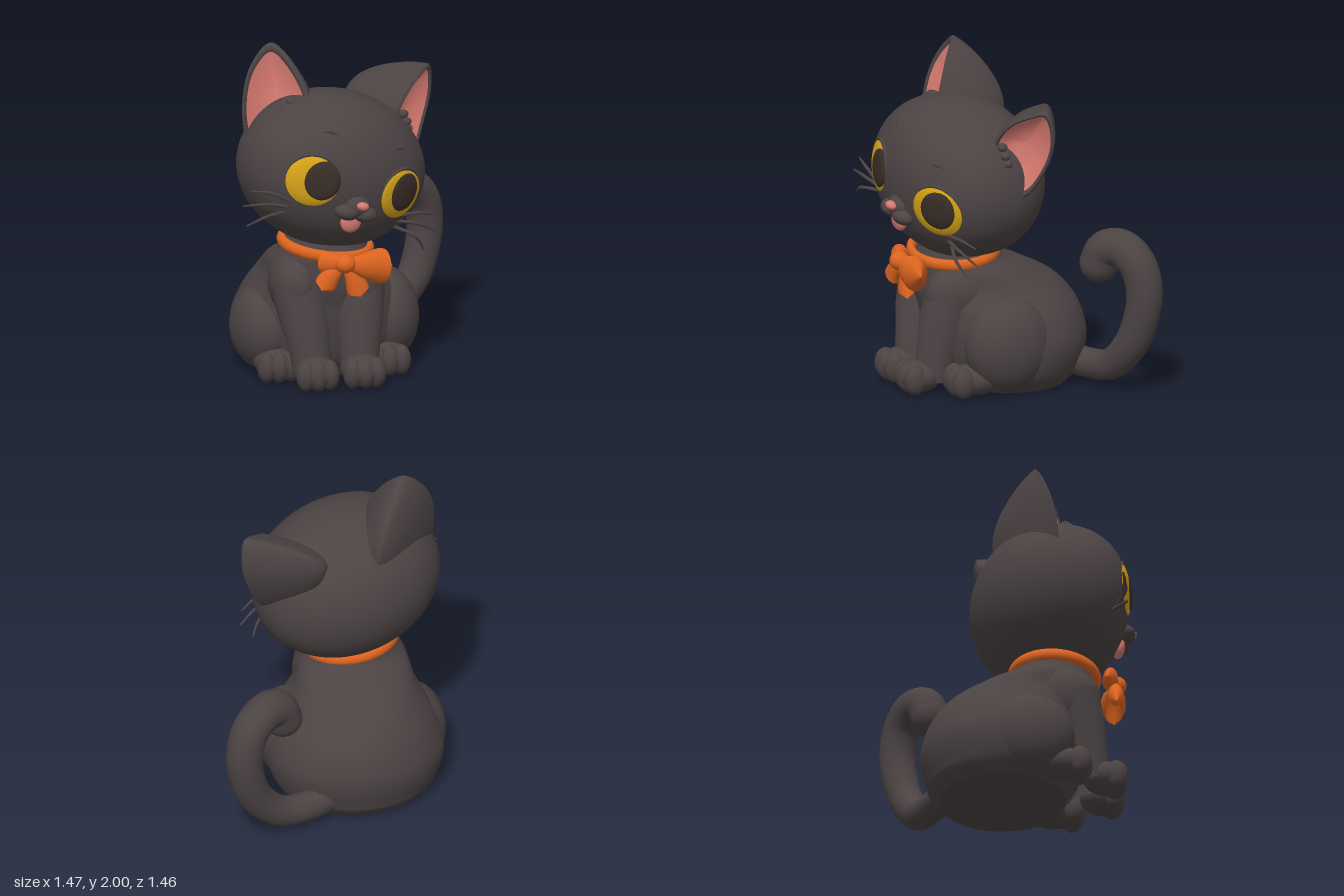
import * as THREE from 'three';
import { mergeVertices } from 'three/addons/utils/BufferGeometryUtils.js';

const V = (x, y, z = 0) => new THREE.Vector3(x, y, z);
const TAU = Math.PI * 2;

// Smooth surface from a rule f(u, v), front side along du x dv
function surface(nu, nv, f) {
  const pos = [], idx = [];
  for (let j = 0; j <= nv; j++)
    for (let i = 0; i <= nu; i++) pos.push(...f(i / nu, j / nv).toArray());
  for (let j = 0; j < nv; j++)
    for (let i = 0; i < nu; i++) {
      const a = j * (nu + 1) + i, d = a + nu + 1;
      idx.push(a, a + 1, d, a + 1, d + 1, d);
    }
  let g = new THREE.BufferGeometry();
  g.setAttribute('position', new THREE.Float32BufferAttribute(pos, 3));
  g.setIndex(idx);
  g = mergeVertices(g, 1e-5);
  g.computeVertexNormals();
  return g;
}

// Tube along points whose radius follows a list
function taperTube(points, radii, n = 32, sides = 20) {
  const curve = new THREE.CatmullRomCurve3(points.map(p => V(...p)));
  const rad = new THREE.SplineCurve(radii.map((r, i) => new THREE.Vector2(i, r)));
  const g = new THREE.TubeGeometry(curve, n, 1, sides);
  const p = g.attributes.position, v = V(0, 0);
  for (let i = 0; i <= n; i++) {
    const c = curve.getPointAt(i / n), r = Math.max(rad.getPoint(i / n).y, 0.0005);
    for (let j = 0; j <= sides; j++) {
      const k = i * (sides + 1) + j;
      v.fromBufferAttribute(p, k).sub(c).multiplyScalar(r).add(c);
      p.setXYZ(k, v.x, v.y, v.z);
    }
  }
  return g;
}

// Head shape: wide ellipsoid with a flatter face
const HX = 0.565, HY = 0.46, HZ = 0.458, FLAT = 0.8;
const headZ = (x, y) => HZ * Math.pow(Math.max(0, 1 - (x / HX) ** 2 - (y / HY) ** 2), FLAT / 2);

// Oval plate lying on the face
const facePlate = (cx, cy, rx, ry, off) => surface(48, 12, (u, v) => {
  const x = cx + rx * v * Math.cos(-TAU * u), y = cy + ry * v * Math.sin(-TAU * u);
  return V(x, y, headZ(x, y) + off * (1 - v ** 8));
});

export function createModel() {
  const mat = (name, color) => {
    const m = new THREE.MeshStandardMaterial({ color });
    m.name = name;
    return m;
  };
  const fur = mat('charcoal fur', 0x4c4343), pink = mat('pink', 0xd67a70);
  const orange = mat('orange ribbon', 0xdd6420), gold = mat('golden eye', 0xd6a418);
  const dark = mat('dark pupil', 0x3a2e28);

  const root = new THREE.Group();
  root.name = 'cat';
  const add = (name, geo, material, parent = root) => {
    const m = new THREE.Mesh(geo, material);
    m.name = name;
    parent.add(m);
    return m;
  };
  const ball = (name, c, r, material = fur, parent = root) => {
    const m = add(name, new THREE.SphereGeometry(1, 36, 24), material, parent);
    m.position.set(...c);
    m.scale.set(...r);
    return m;
  };

  // Pear-shaped body: [y, half width, half depth, centre x, centre z]
  const rows = [[0, 0.41, 0.37, -0.13, -0.07], [0.1, 0.49, 0.44, -0.13, -0.07],
    [0.27, 0.525, 0.485, -0.13, -0.065], [0.45, 0.465, 0.475, -0.13, -0.03],
    [0.6, 0.36, 0.43, -0.15, 0.045], [0.7, 0.32, 0.335, -0.16, 0.135],
    [0.78, 0.26, 0.245, -0.16, 0.21], [0.95, 0.2, 0.19, -0.15, 0.2]];
  const size = new THREE.CatmullRomCurve3(rows.map(r => V(r[1], r[0], r[2])));
  const mid = new THREE.CatmullRomCurve3(rows.map(r => V(r[3], 0, r[4])));
  const bodyAt = (u, v, k = 1) => {
    const s = size.getPoint(v), c = mid.getPoint(v);
    return V(c.x + k * s.x * Math.sin(TAU * u), s.y, c.z + k * s.z * Math.cos(TAU * u));
  };
  add('body', surface(56, 40, (u, v) => bodyAt(u, v)), fur);
  add('bodyBase', surface(56, 2, (u, v) => bodyAt(u, 0, v)), fur);

  // Haunches, hind feet, front legs and paws
  const paw = (name, x, z, len) => {
    ball(name, [x, 0.097, z], [0.125, 0.096, len]);
    for (const i of [-1, 0, 1])
      ball(name + 'Toe', [x + i * 0.072, 0.092, z + len - 0.062 + (i ? -0.012 : 0)], [0.056, 0.09, 0.068]);
  };
  ball('leftHaunch', [0.235, 0.29, 0.06], [0.195, 0.28, 0.27]);
  ball('rightHaunch', [-0.49, 0.26, 0.06], [0.2, 0.255, 0.27]);
  paw('leftHindFoot', 0.195, 0.25, 0.185);
  paw('rightHindFoot', -0.465, 0.25, 0.185);
  for (const [name, top, foot] of [['left', 0.02, 0.0], ['right', -0.36, -0.28]]) {
    const x = t => top + (foot - top) * t;
    add(name + 'FrontLeg', taperTube([[x(0), 0.6, 0.33], [x(0.4), 0.42, 0.375], [x(0.8), 0.22, 0.415],
      [x(1), 0.07, 0.44]], [0.15, 0.145, 0.125, 0.115]), fur);
    ball(name + 'Shoulder', [top + 0.005, 0.57, 0.265], [0.15, 0.2, 0.23]);
    paw(name + 'FrontPaw', foot, 0.525, 0.133);
  }

  // Curled tail
  add('tail', taperTube([[0.05, 0.13, -0.38], [0.22, 0.115, -0.46], [0.39, 0.145, -0.525], [0.53, 0.28, -0.58],
    [0.6, 0.45, -0.62], [0.623, 0.63, -0.635], [0.585, 0.785, -0.61], [0.49, 0.868, -0.55],
    [0.4, 0.845, -0.485], [0.365, 0.76, -0.46]], [0.09, 0.09, 0.1, 0.106, 0.112, 0.115], 72, 24), fur);
  ball('tailTip', [0.365, 0.76, -0.46], [0.115, 0.115, 0.115]);

  // Head, turned and tilted
  const head = new THREE.Group();
  head.name = 'head';
  head.position.set(-0.13, 1.252, 0.205);
  head.rotation.set(0, 0.2, -0.24, 'YXZ');
  root.add(head);
  add('skull', surface(72, 48, (u, v) => {
    const a = TAU * u, b = Math.PI * (v - 0.5);
    const sz = Math.cos(b) * Math.cos(a);
    return V(HX * Math.cos(b) * Math.sin(a), HY * Math.sin(b),
      HZ * (sz > 0 ? Math.pow(sz, FLAT) : sz));
  }), fur, head);

  // Eyes, lids, brows and whiskers on both sides
  const onFace = (x, y, off = 0) => [x, y, headZ(x, y) + off];
  for (const s of [1, -1]) {
    const side = s > 0 ? 'left' : 'right', ex = s > 0 ? 0.306 : -0.278, ey = s > 0 ? -0.03 : -0.018;
    const ry = 0.15;
    add(side + 'Eye', facePlate(ex, ey, 0.148, ry, 0.009), gold, head);
    add(side + 'Pupil', facePlate(ex + (s > 0 ? 0.016 : 0.042), ey + 0.012, 0.11, 0.125, 0.016), dark, head);
    const lid = [];
    for (let i = 0; i <= 10; i++) {
      const a = Math.PI * (0.02 + 0.096 * i);
      lid.push(onFace(ex + 0.152 * Math.cos(a), ey + (ry + 0.006) * Math.sin(a)));
    }
    add(side + 'Eyelid', taperTube(lid, [0.003, 0.009, 0.011, 0.009, 0.003], 32, 8), fur, head);
    const bx = s > 0 ? 0.24 : -0.21, by = s > 0 ? 0.225 : 0.265;
    add(side + 'Brow', taperTube([onFace(bx - 0.048, by), onFace(bx, by + 0.014), onFace(bx + 0.048, by)],
      [0.002, 0.013, 0.002], 12, 8), fur, head);
    for (const [y0, y1, x1] of [[-0.17, -0.15, 0.6], [-0.21, -0.245, 0.635], [-0.25, -0.36, 0.58]])
      add(side + 'Whisker', taperTube([onFace(s * 0.36, y0, -0.01), [s * 0.49, (y0 + y1) / 2 + 0.022, 0.32],
        [s * x1, y1, 0.28]], [0.011, 0.01, 0.005], 12, 8), fur, head);
    ball(side + 'Muzzle', [0.018 + s * 0.058, -0.165, 0.43], [0.076, 0.05, 0.07], fur, head);
  }
  // Nose on a soft bridge, open mouth
  ball('noseBridge', [0.018, -0.125, 0.42], [0.085, 0.07, 0.078], fur, head);
  ball('nose', [0.024, -0.108, 0.497], [0.038, 0.025, 0.03], pink, head);
  ball('mouth', [0.012, -0.222, 0.408], [0.066, 0.07, 0.035], pink, head);

  // Ears: back swelling into the skull, rounded rim, hollow pink inside; rim points run counter-clockwise
  const ear = (name, rim, back, depth, edge) => {
    const pts = rim.map(p => V(...p));
    const c = pts.reduce((a, p) => a.add(p), V(0, 0)).divideScalar(pts.length);
    const curve = new THREE.CatmullRomCurve3(pts, true), dir = V(...back).normalize();
    const at = (u, s, off) => curve.getPoint(u % 1).sub(c).multiplyScalar(s).add(c).addScaledVector(dir, off);
    add(name + 'Back', surface(56, 24, (u, v) => at(u, v, depth * Math.pow(1 - v * v, 0.72))), fur);
    add(name + 'Rim', surface(56, 6, (u, v) => at(u, 1 - v * (1 - edge), -0.014 * Math.sin(Math.PI * v))), fur);
    add(name + 'Inside', surface(56, 12, (u, v) => at(u, edge * (1 - v), 0.07 * (1 - (1 - v) ** 2))), pink);
  };
  ear('rightEar', [[-0.455, 1.995, 0.1], [-0.575, 1.89, 0.13], [-0.64, 1.72, 0.18], [-0.64, 1.48, 0.22],
    [-0.56, 1.3, 0.22], [-0.37, 1.4, 0.28], [-0.26, 1.66, 0.28], [-0.34, 1.88, 0.19]],
    [0.5, -0.35, -0.75], 0.42, 0.84);
  ear('leftEar', [[0.522, 1.757, -0.06], [0.45, 1.735, 0.02], [0.35, 1.66, 0.12], [0.27, 1.52, 0.17],
    [0.3, 1.33, 0.14], [0.39, 1.22, 0.04], [0.485, 1.4, -0.07], [0.538, 1.6, -0.1]],
    [-0.77, 0.16, -0.5], 0.42, 0.86);
  for (const [x, y, z] of [[-0.41, 1.65, 0.3], [-0.37, 1.68, 0.285], [-0.335, 1.685, 0.28],
    [0.325, 1.52, 0.14], [0.345, 1.47, 0.13], [0.355, 1.425, 0.12]])
    ball('earTuft', [x, y, z], [0.032, 0.025, 0.03]);

  // Collar band
  const collar = add('collar', new THREE.TorusGeometry(0.255, 0.027, 16, 56), orange);
  collar.scale.set(1.02, 0.97, 1.3);
  collar.rotation.set(Math.PI / 2 + 0.07, -0.12, 0);
  collar.position.set(-0.16, 0.795, 0.235);

  // Bow with knot, two loops and two ribbon ends
  const bow = new THREE.Group();
  bow.name = 'bow';
  bow.position.set(-0.12, 0.765, 0.585);
  bow.scale.z = 0.7;
  root.add(bow);
  ball('bowKnot', [0, 0.005, 0.02], [0.062, 0.056, 0.085], orange, bow);
  add('leftBowLoop', taperTube([[0.02, 0, 0], [0.12, -0.012, 0.02], [0.22, -0.022, 0.01], [0.285, -0.025, 0]],
    [0.04, 0.05, 0.068, 0.085, 0.098, 0.105, 0.09, 0], 48), orange, bow);
  add('rightBowLoop', taperTube([[-0.02, 0, 0], [-0.08, 0.005, -0.03], [-0.135, 0.005, -0.08]],
    [0.04, 0.05, 0.06, 0.068, 0.06, 0], 40), orange, bow);
  add('leftRibbonEnd', taperTube([[0.02, -0.03, -0.02], [0.06, -0.11, 0], [0.095, -0.205, 0.01]],
    [0.028, 0.04, 0.05, 0.06, 0.066, 0.058, 0], 40), orange, bow);
  add('rightRibbonEnd', taperTube([[-0.03, -0.03, -0.02], [-0.09, -0.08, 0], [-0.14, -0.155, 0.01]],
    [0.03, 0.045, 0.055, 0.064, 0.058, 0], 40), orange, bow);

  return root;
}
